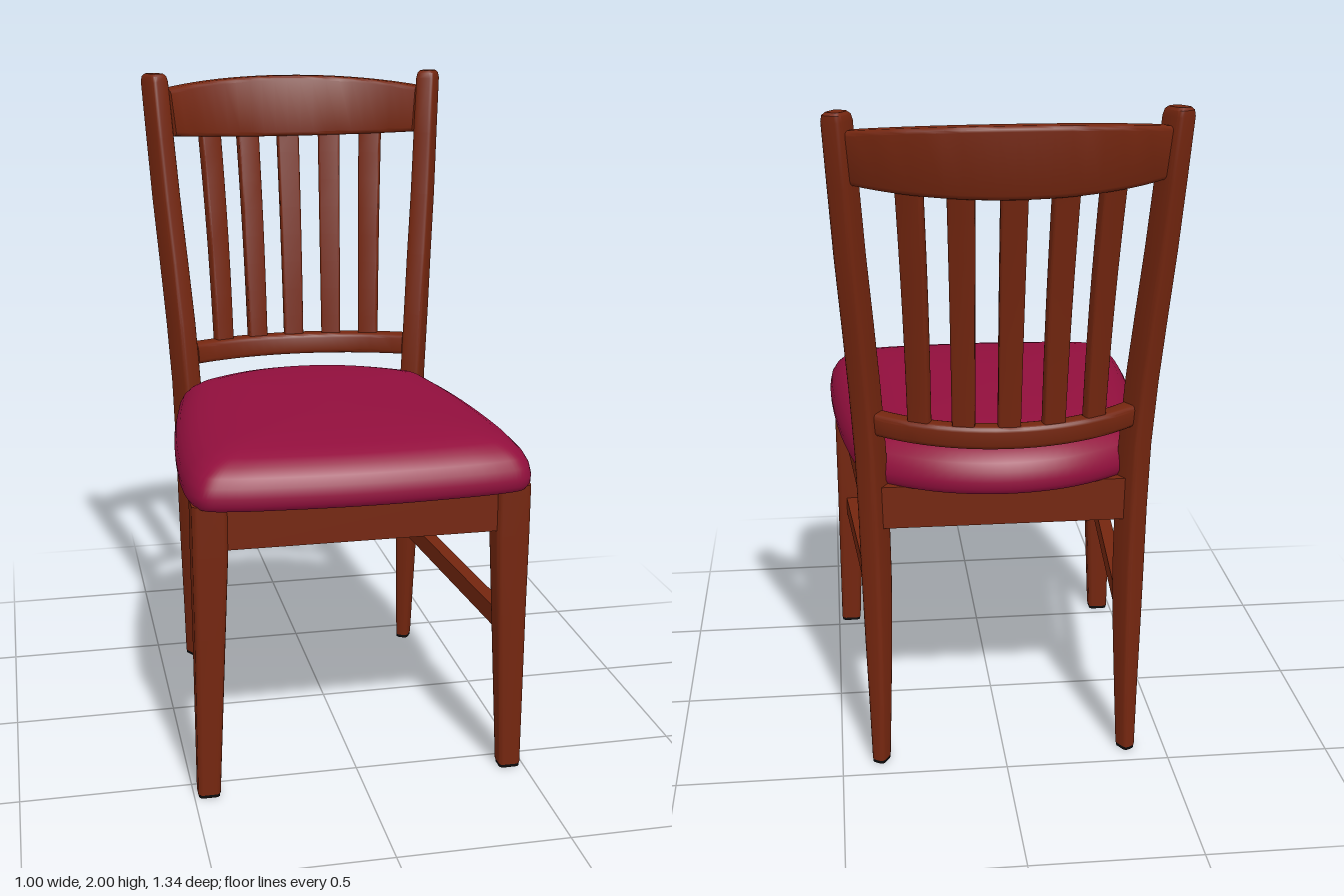
import * as THREE from 'three';
import { toCreasedNormals } from 'three/addons/utils/BufferGeometryUtils.js';

const wood = new THREE.MeshStandardMaterial({ color: 0x74260f });
wood.name = 'reddish wood';
const fabric = new THREE.MeshStandardMaterial({ color: 0x920f3d });
fabric.name = 'crimson fabric';
const rubber = new THREE.MeshStandardMaterial({ color: 0x0c0a0a });
rubber.name = 'black rubber';

const lerp = THREE.MathUtils.lerp;

// Rounded rectangle outline as [u, v] pairs
function roundRect(w, d, r) {
  const pts = [];
  const corners = [[1, 1], [-1, 1], [-1, -1], [1, -1]];
  corners.forEach(([sx, sy], c) => {
    for (let k = 0; k < 4; k++) {
      const a = c * Math.PI / 2 + k * Math.PI / 6;
      pts.push([sx * (w / 2 - r) + r * Math.cos(a), sy * (d / 2 - r) + r * Math.sin(a)]);
    }
  });
  return pts;
}

// Skin a list of equal-length rings and close both ends
function loft(rings, crease = 0.65) {
  const n = rings[0].length, pos = [], idx = [];
  rings.forEach(r => r.forEach(p => pos.push(p.x, p.y, p.z)));
  for (let j = 0; j < rings.length - 1; j++) {
    for (let i = 0; i < n; i++) {
      const a = j * n + i, b = j * n + (i + 1) % n;
      idx.push(a, a + n, b, b, a + n, b + n);
    }
  }
  [0, rings.length - 1].forEach(j => {
    const c = new THREE.Vector3();
    rings[j].forEach(p => c.addScaledVector(p, 1 / n));
    const ci = pos.length / 3;
    pos.push(c.x, c.y, c.z);
    for (let i = 0; i < n; i++) {
      const a = j * n + i, b = j * n + (i + 1) % n;
      if (j === 0) idx.push(ci, a, b); else idx.push(ci, b, a);
    }
  });
  const g = new THREE.BufferGeometry();
  g.setAttribute('position', new THREE.Float32BufferAttribute(pos, 3));
  g.setIndex(idx);
  return toCreasedNormals(g, crease);
}

// Horizontal rounded section, turned about the vertical
function section(x, y, z, w, d, r, turn = 0) {
  const c = Math.cos(turn), s = Math.sin(turn);
  return roundRect(w, d, r).map(([u, v]) => new THREE.Vector3(x + u * c + v * s, y, z - u * s + v * c));
}

// Rail following an arc; shape(t) gives its measures, t from -1 to 1
function arcRail(halfAngle, shape) {
  const rings = [];
  for (let i = 0; i <= 20; i++) {
    const t = i / 10 - 1, a = t * halfAngle, s = Math.sin(a), c = Math.cos(a);
    const { R, cz, y0, y1, thick, lean } = shape(t);
    rings.push(roundRect(thick, y1 - y0, 0.014).map(([u, v]) => {
      const rad = R - u + lean * v;
      return new THREE.Vector3(rad * s, (y0 + y1) / 2 + v, cz - rad * c);
    }));
  }
  return loft(rings);
}

export function createModel() {
  const chair = new THREE.Group();
  chair.name = 'chair';
  const add = (name, geo, mat = wood) => {
    const m = new THREE.Mesh(geo, mat);
    m.name = name;
    chair.add(m);
    return m;
  };
  // Straight board between two points on the floor plan
  const board = (name, x0, z0, x1, z1, y0, y1, thick) => {
    const dx = x1 - x0, dz = z1 - z0;
    const m = add(name, new THREE.BoxGeometry(thick, y1 - y0, Math.hypot(dx, dz)));
    m.position.set((x0 + x1) / 2, (y0 + y1) / 2, (z0 + z1) / 2);
    m.rotation.y = Math.atan2(dx, dz);
  };

  // Back posts: y, x, z, width, depth
  const post = [
    [0.01, 0.38, -0.415, 0.042, 0.055], [0.2, 0.379, -0.403, 0.052, 0.065],
    [0.4, 0.379, -0.39, 0.06, 0.077], [0.6, 0.38, -0.379, 0.065, 0.086],
    [0.8, 0.383, -0.375, 0.066, 0.088], [1.0, 0.389, -0.378, 0.066, 0.088],
    [1.2, 0.401, -0.392, 0.066, 0.088], [1.4, 0.416, -0.42, 0.066, 0.085],
    [1.6, 0.432, -0.447, 0.065, 0.083], [1.8, 0.445, -0.474, 0.064, 0.081],
    [1.975, 0.456, -0.495, 0.063, 0.08], [1.992, 0.457, -0.497, 0.057, 0.074],
    [2.0, 0.457, -0.498, 0.042, 0.058]];

  for (const [side, s] of [['left', 1], ['right', -1]]) {
    add(side + 'BackPost', loft(post.map(([y, x, z, w, d]) =>
      section(s * x, y, z, w, d, Math.min(0.014, w * 0.3), -s * 0.55))));
    add(side + 'BackFoot', loft([0, 0.01].map(y =>
      section(s * 0.38, y, -0.415, 0.04, 0.052, 0.012, -s * 0.55))), rubber);

    // Tapered front legs
    add(side + 'FrontLeg', loft([
      section(s * 0.456, 0.01, 0.56, 0.066, 0.06, 0.013),
      section(s * 0.445, 0.5, 0.555, 0.088, 0.082, 0.015),
      section(s * 0.44, 0.75, 0.553, 0.1, 0.094, 0.015),
      section(s * 0.44, 0.9, 0.553, 0.1, 0.094, 0.015)]));
    add(side + 'FrontFoot', loft([0, 0.01].map(y =>
      section(s * 0.456, y, 0.56, 0.062, 0.056, 0.013))), rubber);

    board(side + 'Apron', s * 0.445, 0.53, s * 0.385, -0.37, 0.765, 0.895, 0.045);
    board(side + 'Stretcher', s * 0.44, 0.54, s * 0.37, -0.38, 0.43, 0.49, 0.042);
  }
  board('frontApron', -0.42, 0.567, 0.42, 0.567, 0.765, 0.895, 0.045);
  board('backApron', -0.38, -0.375, 0.38, -0.375, 0.765, 0.895, 0.045);

  // Curved back rails
  add('lowerBackRail', arcRail(0.64, t => ({
    R: 0.61, cz: 0.1, y0: 1.05 + 0.01 * t * t, y1: 1.118 + 0.01 * t * t, thick: 0.06, lean: 0.1 })));
  add('topBackRail', arcRail(0.66, t => ({
    R: 0.683, cz: 0.055, y0: 1.782 + 0.02 * t * t, y1: 1.98 - 0.03 * t * t, thick: 0.062, lean: 0.16 })));

  // Five back slats fanning between the rails
  for (let i = -2; i <= 2; i++) {
    const a = i * 0.21, rings = [];
    for (let k = 0; k <= 8; k++) {
      const t = k / 8;
      const R = lerp(0.612, 0.672, t) - 0.008 * Math.sin(Math.PI * t), cz = lerp(0.1, 0.055, t);
      rings.push(section(R * Math.sin(a), lerp(1.09, 1.82, t), cz - R * Math.cos(a),
        lerp(0.064, 0.074, t), 0.034, 0.007, -a));
    }
    add('backSlat' + (i + 3), loft(rings));
  }

  // Padded seat: half outline from front to back, mirrored
  const half = [[0.22, 0.662], [0.4, 0.645], [0.465, 0.625], [0.492, 0.575], [0.502, 0.45], [0.495, 0.25],
    [0.472, 0.0], [0.44, -0.2], [0.412, -0.315], [0.33, -0.385], [0.18, -0.46]];
  const outline = [[0, 0.67], ...half, [0, -0.488], ...half.slice().reverse().map(([x, z]) => [-x, z])];
  const curve = new THREE.CatmullRomCurve3(outline.map(([x, z]) => new THREE.Vector3(x, 0, z)), true);
  const rim = curve.getPoints(120).slice(0, 120).reverse();
  // Padding profile: inset, height
  const profile = [[0.03, 0.89], [0.01, 0.894], [0.001, 0.91], [0, 0.932], [0.006, 0.96], [0.02, 0.985],
    [0.043, 1.008], [0.075, 1.026], [0.12, 1.038], [0.19, 1.046], [0.3, 1.052], [0.42, 1.055]];
  add('seatCushion', loft(profile.map(([inset, y]) => rim.map(p => {
    const k = 1 - inset / 0.5, kz = 1 - inset / 0.57;
    return new THREE.Vector3(p.x * k, y, 0.09 + (p.z - 0.09) * kz);
  })), 0.9), fabric);

  return chair;
}
